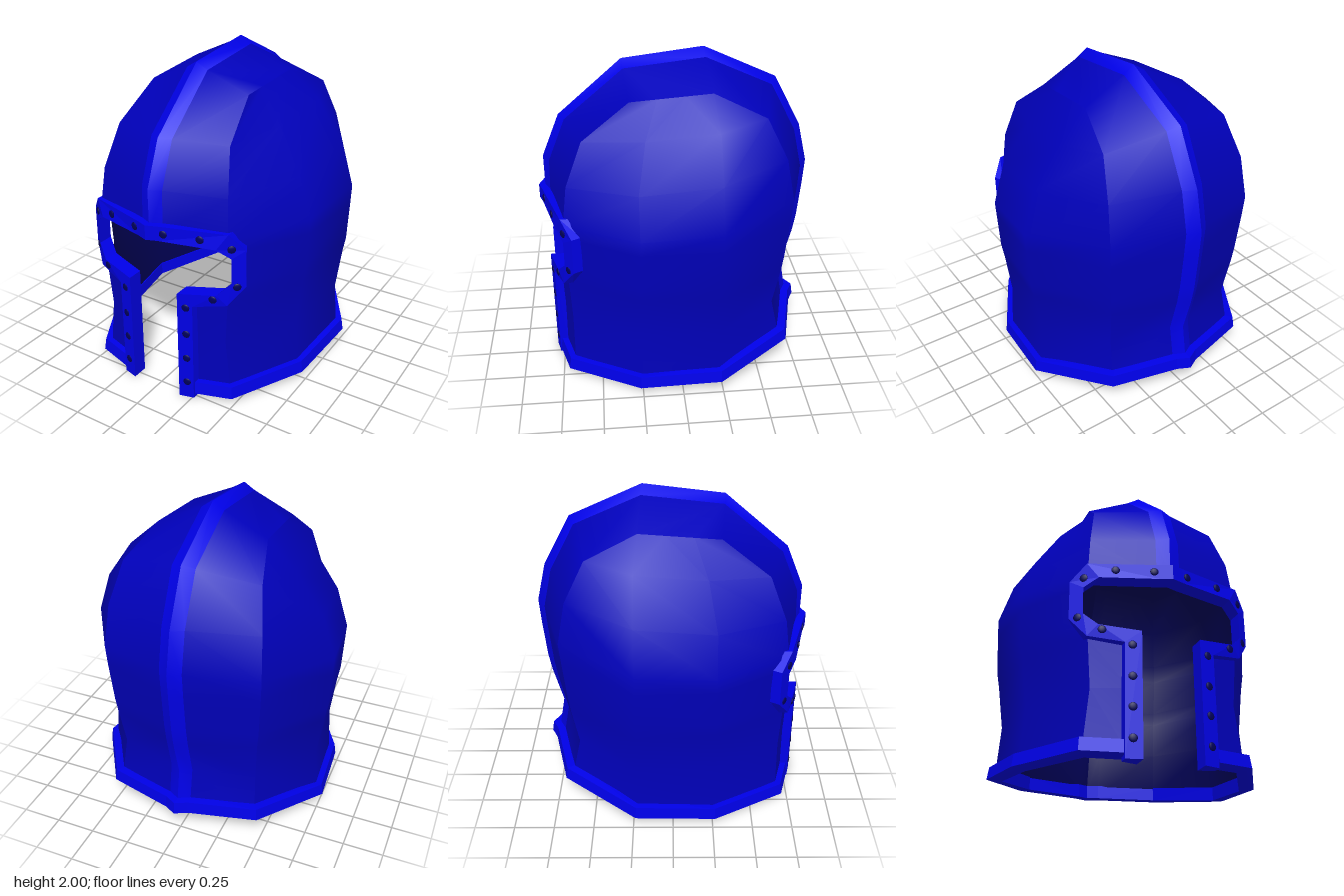
import * as THREE from 'three';
import { mergeVertices } from 'three/addons/utils/BufferGeometryUtils.js';

const V = (x, y, z) => new THREE.Vector3(x, y, z);
const lerp = THREE.MathUtils.lerp;

// Shell rows, bottom to crown:
// front centre y,z | front panel edge x,y,z | widest side x | back panel edge x,y,z | back centre y,z
const ROWS = [
  [0.01, 0.82, 0.46, 0.03, 0.67, 0.735, 0.46, 0.17, -0.65, 0.18, -0.79],
  [0.40, 0.82, 0.42, 0.40, 0.67, 0.71, 0.44, 0.45, -0.59, 0.46, -0.74],
  [0.68, 0.82, 0.44, 0.68, 0.68, 0.745, 0.46, 0.70, -0.63, 0.70, -0.80],
  [0.78, 0.82, 0.445, 0.78, 0.68, 0.763, 0.47, 0.80, -0.64, 0.82, -0.82],
  [1.00, 0.81, 0.45, 1.00, 0.69, 0.775, 0.485, 1.06, -0.66, 1.06, -0.84],
  [1.08, 0.81, 0.45, 1.08, 0.69, 0.78, 0.49, 1.20, -0.67, 1.23, -0.85],
  [1.33, 0.81, 0.43, 1.32, 0.66, 0.695, 0.47, 1.46, -0.62, 1.48, -0.79],
  [1.60, 0.70, 0.38, 1.58, 0.56, 0.525, 0.42, 1.70, -0.50, 1.80, -0.62],
  [1.94, 0.31, 0.33, 1.79, 0.28, 0.338, 0.34, 1.83, -0.20, 2.00, -0.18],
];
// Face opening: where each strip of the shell starts in x, at its lower and upper edge
const CUTS = [[0.22, 0.22], [0.22, 0.22], [0.42, 0.5], [0.5, 0.5], [0.5, 0.42], [0, 0], [0, 0], [0, 0]];

// Eight points of one half row, from front centre round the side to back centre
function rowPoints([cy, cz, fx, fy, fz, sx, bx, by, bz, ky, kz], i) {
  const front = V(fx, fy, fz), back = V(bx, by, bz);
  const [t3, t4] = i === 0 ? [0.1, 0.48] : i < 6 ? [0.25, 0.64] : [0.28, 0.7];
  const sides = i === 8
    ? [front.clone().lerp(back, 0.33), front.clone().lerp(back, 0.67)]
    : [V(sx * 0.94, lerp(fy, by, t3), i === 7 ? 0.2 : 0.25), V(sx, lerp(fy, by, t4), -0.22)];
  return [
    V(0, cy, cz), V(0.07, lerp(cy, fy, 0.27), lerp(cz, fz, 0.27)), front, ...sides,
    back, V(0.07, lerp(ky, by, 0.27), lerp(kz, bz, 0.27)), V(0, ky, kz),
  ];
}

// Moves the front points that lie inside the opening onto its edge
function cutRow(points, x) {
  const k = points.findIndex((p) => p.x >= x);
  if (k < 1) return points;
  const a = points[k - 1], b = points[k];
  const edge = a.clone().lerp(b, (x - a.x) / (b.x - a.x));
  return points.map((p, j) => (j < k ? edge : p));
}

// Mesh from quads; side -1 mirrors it in x and turns the corners round
function quadMesh(name, quads, side, material, smooth) {
  const pos = [];
  for (const [a, b, c, d] of quads) {
    for (const t of [[a, b, c], [a, c, d]]) {
      if (new THREE.Triangle(...t).getArea() < 1e-7) continue;
      for (const p of side > 0 ? t : [...t].reverse()) pos.push(p.x * side, p.y, p.z);
    }
  }
  let g = new THREE.BufferGeometry();
  g.setAttribute('position', new THREE.Float32BufferAttribute(pos, 3));
  if (smooth) g = mergeVertices(g);
  g.computeVertexNormals();
  const mesh = new THREE.Mesh(g, material);
  mesh.name = name;
  return mesh;
}

// Quads between successive closed cross-sections
function loft(sections) {
  const quads = [];
  for (let i = 0; i + 1 < sections.length; i++) {
    const s = sections[i], t = sections[i + 1], n = s.length;
    for (let k = 0; k < n; k++) {
      const m = (k + 1) % n;
      quads.push([s[m], t[m], t[k], s[k]]);
    }
  }
  return quads;
}

// Depth of the face frame's front at a given x
const PROFILE = [[0, 0.85], [0.07, 0.825], [0.42, 0.735], [0.475, 0.695], [0.54, 0.642]];
function frameZ(x) {
  const k = Math.max(1, PROFILE.findIndex((p) => p[0] >= x - 1e-6));
  const [x0, z0] = PROFILE[k - 1], [x1, z1] = PROFILE[k];
  return lerp(z0, z1, (x - x0) / (x1 - x0));
}

// Frame stations: outer x,y and inner x,y
const FRAME = [
  [0, 1.13, 0, 1.04], [0.07, 1.13, 0.07, 1.04], [0.46, 1.13, 0.40, 1.035], [0.54, 1.03, 0.475, 0.98],
  [0.54, 0.80, 0.475, 0.82], [0.455, 0.68, 0.40, 0.745], [0.26, 0.645, 0.17, 0.715], [0.26, 0, 0.17, 0],
];
const RIVETS = [
  [0.10, 1.085], [0.31, 1.085], [0.475, 1.04], [0.5, 0.80], [0.38, 0.715],
  [0.22, 0.63], [0.22, 0.45], [0.22, 0.28], [0.22, 0.11],
];

function flat(name, color) {
  const material = new THREE.MeshStandardMaterial({ color });
  material.name = name;
  return material;
}

export function createModel() {
  const blue = flat('shell blue', 0x0000ba);
  const bright = flat('bright trim blue', 0x0000e7);
  const dark = flat('dark lining blue', 0x000058);

  const model = new THREE.Group();
  model.name = 'helmet';
  const rows = ROWS.map(rowPoints);
  const rivetGeometry = new THREE.SphereGeometry(0.024, 10, 8);

  // Shell columns j0 to j1; separate panels keep the lines between them sharp
  const panel = (j0, j1) => {
    const quads = [];
    CUTS.forEach(([c0, c1], i) => {
      const a = cutRow(rows[i], c0), b = cutRow(rows[i + 1], c1);
      for (let j = j0; j < j1; j++) quads.push([a[j], a[j + 1], b[j + 1], b[j]]);
    });
    return quads;
  };
  const t = rows[8];
  const ridge = [...panel(0, 1), [t[0], t[1], t[6], t[7]], ...panel(6, 7)];
  const crown = [...panel(1, 2), [t[1], t[2], t[3], t[4]], [t[1], t[4], t[5], t[6]], ...panel(5, 6)];
  const cheek = panel(2, 5);
  // Lining: the whole shell, drawn in by its thickness and facing inward
  const inward = (p) => V(p.x * 0.955, 0.8 + (p.y - 0.8) * 0.955, p.z * 0.955);
  const lining = [...ridge, ...crown, ...cheek].map((q) => q.map(inward).reverse());

  // Raised frame around the eyes and down the cheeks
  const frame = FRAME.map(([ox, oy, ix, iy]) => [
    V(ox, oy, frameZ(ox)), V(ix, iy, frameZ(ix)),
    V(ix, iy, frameZ(ix) - 0.1), V(ox > 0.5 ? ox - 0.03 : ox, oy, frameZ(ox) - 0.055),
  ]);

  // Band around the lower edge
  const rim = cutRow(rows[0], 0.25).slice(1).map((p) => {
    const at = (s, dy) => V(p.x * s, p.y + dy, p.z * s);
    return [at(1.045, 0.085), at(1.06, 0.01), at(1.02, 0), at(0.94, 0), at(0.94, 0.085)];
  });

  for (const side of [1, -1]) {
    const half = new THREE.Group();
    half.name = side > 0 ? 'leftHalf' : 'rightHalf';
    model.add(half);
    half.add(
      quadMesh('crestRidge', ridge, side, bright, true),
      quadMesh('crownPanel', crown, side, blue, true),
      quadMesh('sidePanel', cheek, side, blue, true),
      quadMesh('lining', lining, side, dark, true),
      quadMesh('faceFrame', [...loft(frame), frame.at(-1)], side, bright, false),
      quadMesh('lowerRim', loft(rim), side, bright, false),
    );

    // Rivets on the frame
    for (const [x, y] of RIVETS) {
      const rivet = new THREE.Mesh(rivetGeometry, dark);
      rivet.name = 'rivet';
      rivet.position.set(side * x, y, frameZ(x));
      rivet.rotation.y = side * (x > 0.45 ? 0.65 : 0.25);
      rivet.scale.z = 0.3;
      half.add(rivet);
    }
  }
  return model;
}
